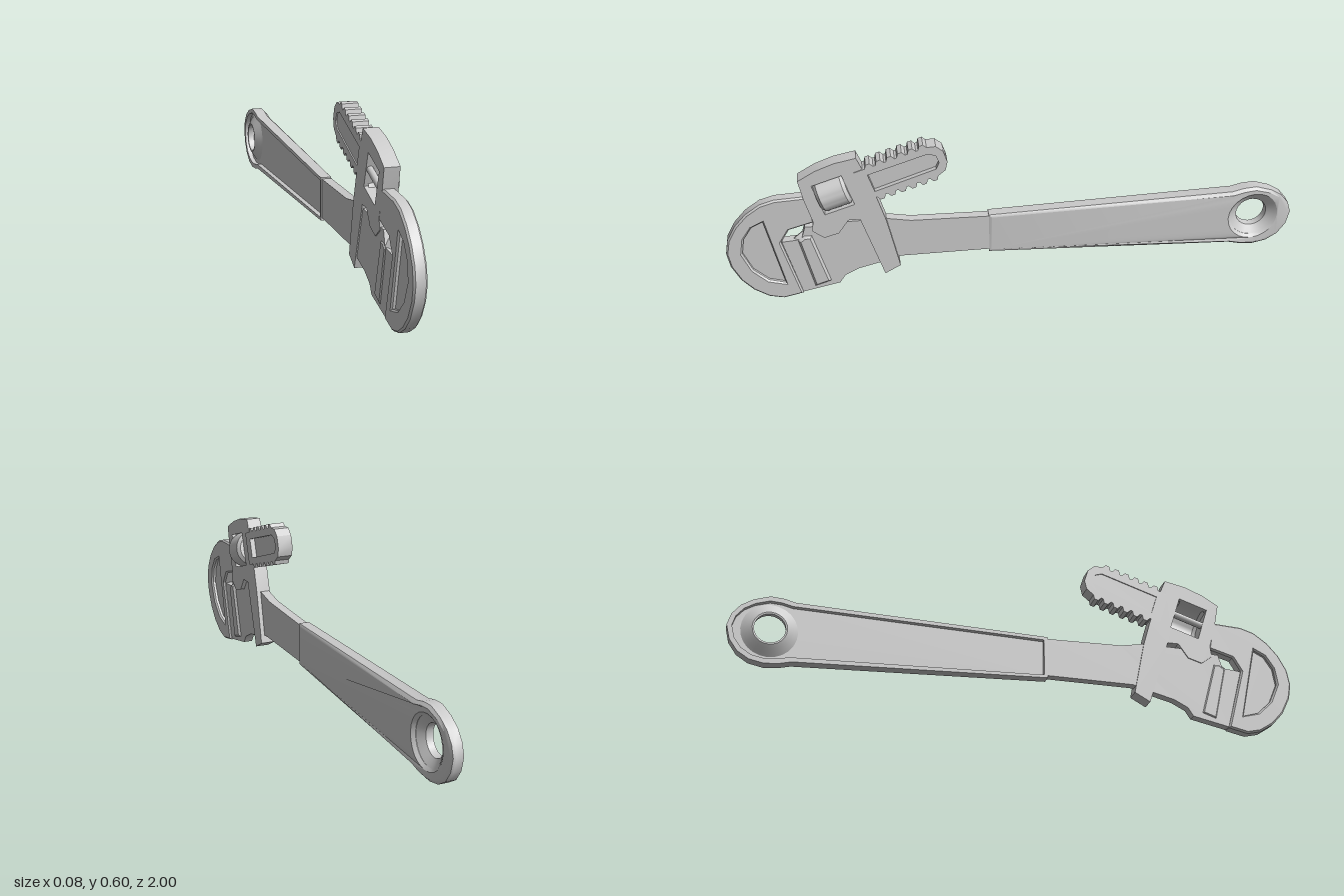
import * as THREE from 'three';
import { toCreasedNormals } from 'three/addons/utils/BufferGeometryUtils.js';

const material = new THREE.MeshStandardMaterial({ color: 0xcccccc });
const doubleSided = new THREE.MeshStandardMaterial({ color: 0xcccccc, side: THREE.DoubleSide });
const TILT = 0.31; // slope of the sliding shank

const vectors = (pts) => pts.map(([u, v]) => new THREE.Vector2(u, v));

// Side profile (u = -z, v = y) extruded from x0 to x1
function plate(name, pts, x0, x1, { holes = [], bevel = 0, rule = null } = {}) {
  const outline = vectors(pts);
  if (THREE.ShapeUtils.isClockWise(outline)) outline.reverse();
  const shape = new THREE.Shape(outline);
  for (const h of holes) shape.holes.push(new THREE.Path(vectors(h)));
  const g = new THREE.ExtrudeGeometry(shape, {
    depth: x1 - x0 - 2 * bevel, bevelEnabled: bevel > 0, bevelThickness: bevel,
    bevelSize: bevel, bevelOffset: -bevel, bevelSegments: 1,
  });
  g.translate(0, 0, x0 + bevel).rotateY(Math.PI / 2);
  if (rule) {
    const p = g.attributes.position;
    for (let i = 0; i < p.count; i++) p.setX(i, rule(p.getX(i), -p.getZ(i)));
  }
  const mesh = new THREE.Mesh(toCreasedNormals(g, 0.55), material);
  mesh.name = name;
  return mesh;
}

const circle = (u, v, r, n = 24) => Array.from({ length: n }, (_, i) => {
  const a = (i / n) * Math.PI * 2;
  return [u + r * Math.cos(a), v + r * Math.sin(a)];
});

// Places local points along the tilted shank direction
const tilted = (u, v, pts) => pts.map(([s, t]) => [
  u + s * Math.cos(TILT) - t * Math.sin(TILT),
  v + s * Math.sin(TILT) + t * Math.cos(TILT),
]);

const rect = (s0, t0, s1, t1) => [[s0, t0], [s1, t0], [s1, t1], [s0, t1]];

function hookJaw() {
  const group = new THREE.Group();
  group.name = 'hookJaw';
  const outline = [[-0.82, 0.41], [-0.71, 0.415], [-0.69, 0.31], [-0.78, 0.285], [-0.81, 0.235],
    [-0.75, 0.015], [-0.82, 0], [-0.87, 0.012], [-0.92, 0.045], [-0.96, 0.09], [-0.99, 0.15],
    [-1, 0.205], [-0.99, 0.26], [-0.96, 0.315], [-0.92, 0.36], [-0.87, 0.395]];
  const recess = [[-0.865, 0.325], [-0.808, 0.065], [-0.865, 0.082], [-0.915, 0.13],
    [-0.945, 0.2], [-0.935, 0.26], [-0.905, 0.305]];
  group.add(plate('hookFrame', outline, -0.035, 0.009, { holes: [recess], bevel: 0.006 }));
  group.add(plate('hookRecessFloor', recess, -0.02, -0.006));
  return group;
}

function heelJaw() {
  const group = new THREE.Group();
  group.name = 'heelJaw';
  const outline = [[-0.808, 0.235], [-0.74, 0.24], [-0.725, 0.29], [-0.70, 0.29], [-0.66, 0.265],
    [-0.6, 0.30], [-0.44, 0.30], [-0.36, 0.285], [-0.08, 0.278], [-0.08, 0.14], [-0.40, 0.14],
    [-0.47, 0.12], [-0.55, 0.10], [-0.60, 0.075], [-0.62, 0.045], [-0.75, 0.018]];
  group.add(plate('heelAndNeck', outline, -0.031, 0.002));
  // swollen ridge across the jaw
  const ridge = [[-0.765, 0.24], [-0.735, 0.265], [-0.695, 0.265], [-0.635, 0.05], [-0.715, 0.025]];
  group.add(plate('heelRidge', ridge, -0.035, 0.01, { bevel: 0.02 }));
  return group;
}

function slidingShank() {
  const group = new THREE.Group();
  group.name = 'threadedShank';
  const teeth = 6, pitch = 0.038;
  const top = [], bottom = [];
  for (let i = 0; i < teeth; i++) {
    const s = i * pitch;
    for (const [ds, t] of [[0, 0.06], [0.008, 0.074], [0.022, 0.074], [0.03, 0.06]]) {
      top.push([s + ds, t]);
      bottom.push([s + ds, -t]);
    }
  }
  const outline = [[-0.04, 0.06], ...top, [0.25, 0.052], [0.267, 0.025], [0.267, -0.02],
    [0.25, -0.048], ...bottom.reverse(), [-0.04, -0.06]];
  const slot = [[0, 0.034], [0.215, 0.034], [0.238, 0.018], [0.24, -0.012], [0.222, -0.032], [0, -0.036]];
  const at = (pts) => tilted(-0.49, 0.46, pts);
  group.add(plate('thread', at(outline), -0.035, 0.02, { holes: [at(slot)] }));
  group.add(plate('slotFloor', at(slot), -0.031, 0.002));
  return group;
}

function housing() {
  const outline = [[-0.735, 0.485], [-0.675, 0.52], [-0.61, 0.545], [-0.535, 0.56], [-0.51, 0.50],
    [-0.47, 0.385], [-0.445, 0.30], [-0.405, 0.11], [-0.46, 0.08], [-0.535, 0.315],
    [-0.575, 0.315], [-0.61, 0.265], [-0.66, 0.25], [-0.70, 0.28], [-0.695, 0.32], [-0.72, 0.41]];
  const window = tilted(-0.62, 0.42, rect(-0.054, -0.062, 0.054, 0.062));
  return plate('housing', outline, -0.035, 0.017, { holes: [window] });
}

// Adjusting nut: half drum showing through the housing window
function adjustingNut() {
  const group = new THREE.Group();
  group.name = 'adjustingNut';
  const profile = vectors([[0.001, -0.054], [0.053, -0.054], [0.064, -0.043], [0.064, 0.043], [0.053, 0.054], [0.001, 0.054]]);
  const g = toCreasedNormals(new THREE.LatheGeometry(profile, 20, 0, Math.PI), 0.5);
  const drum = new THREE.Mesh(g, doubleSided);
  drum.name = 'nutDrum';
  const axle = new THREE.Mesh(new THREE.CylinderGeometry(0.012, 0.012, 0.108, 10), material);
  axle.name = 'nutAxle';
  group.add(drum, axle);
  group.position.set(-0.022, 0.42, 0.62);
  group.rotation.x = TILT - Math.PI / 2;
  return group;
}

function handle() {
  const group = new THREE.Group();
  group.name = 'handle';
  const outline = [[-0.09, 0.283], [0.78, 0.305], [0.82, 0.315], [0.865, 0.318], [0.92, 0.30], [0.96, 0.275],
    [0.988, 0.24], [1, 0.2], [0.988, 0.15], [0.96, 0.11], [0.92, 0.085], [0.87, 0.075],
    [0.82, 0.08], [0.78, 0.09], [-0.09, 0.13]];
  // front face swells along the grip and thins at the tip
  const swell = (x, u) => {
    if (x < 0) return x;
    const full = u < 0.8 ? 0.006 + 0.011 * (u + 0.09) / 0.89 : 0.017 - 0.013 * (u - 0.8) / 0.2;
    return x * full / 0.014;
  };
  group.add(plate('grip', outline, -0.018, 0.014, { holes: [circle(0.86, 0.2, 0.082)], bevel: 0.01, rule: swell }));
  // raised border around the rear panel
  const inset = outline.map(([u, v]) => [
    u < 0 ? u + 0.012 : u > 0.7 ? 0.86 + (u - 0.86) * 0.88 : u, 0.2 + (v - 0.2) * 0.86]);
  group.add(plate('gripBorder', outline, -0.035, -0.006, { holes: [inset] }));
  // dished surround of the hanging hole, bulging at the rear
  const profile = vectors([[0.09, 0.009], [0.08, 0.002], [0.066, -0.008], [0.055, -0.016], [0.052, -0.04],
    [0.058, -0.041], [0.07, -0.034], [0.085, -0.024], [0.098, -0.016]]);
  const dish = new THREE.Mesh(toCreasedNormals(new THREE.LatheGeometry(profile, 24), 0.6), doubleSided);
  dish.name = 'hangingHole';
  dish.rotation.z = -Math.PI / 2;
  dish.position.set(0, 0.2, -0.86);
  group.add(dish);
  return group;
}

export function createModel() {
  const model = new THREE.Group();
  model.name = 'pipeWrench';
  model.add(hookJaw(), heelJaw(), slidingShank(), housing(), adjustingNut(), handle());
  return model;
}
